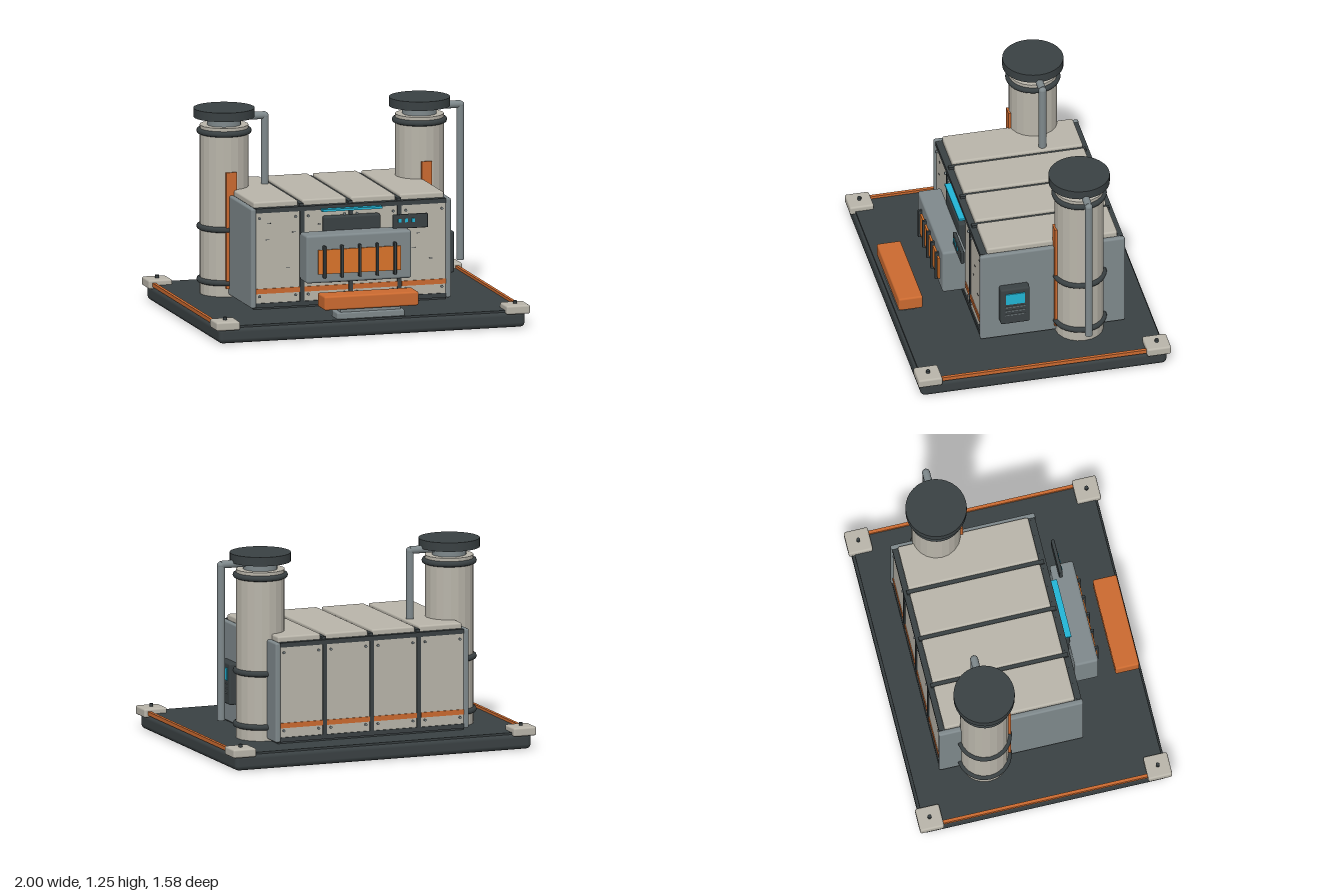
import * as THREE from 'three';
import { RoundedBoxGeometry } from 'three/addons/geometries/RoundedBoxGeometry.js';

const paint = (color) => new THREE.MeshStandardMaterial({ color });
const CREAM = paint(0xb9b5aa), DARK = paint(0x3a4143), GREY = paint(0x7f898c);
const ORANGE = paint(0xcb6a30), BRIGHT = paint(0xd9742a), CYAN = paint(0x22b5d6);
const CREAM_FLAT = paint(0xb9b5aa);
CREAM_FLAT.flatShading = true;

function add(parent, name, geometry, material, x = 0, y = 0, z = 0) {
  const mesh = new THREE.Mesh(geometry, material);
  mesh.name = name;
  mesh.position.set(x, y, z);
  parent.add(mesh);
  return mesh;
}

// Box given by its limits on each axis; r > 0 rounds the edges
function block(parent, name, material, [x0, x1], [y0, y1], [z0, z1], r = 0) {
  const size = [x1 - x0, y1 - y0, z1 - z0];
  const geometry = r ? new RoundedBoxGeometry(...size, 2, r) : new THREE.BoxGeometry(...size);
  return add(parent, name, geometry, material, (x0 + x1) / 2, (y0 + y1) / 2, (z0 + z1) / 2);
}

function group(parent, name) {
  const g = new THREE.Group();
  g.name = name;
  parent.add(g);
  return g;
}

function buildBase(root) {
  const base = group(root, 'base');
  block(base, 'slab', DARK, [-0.975, 0.975], [0, 0.1], [-0.77, 0.77], 0.03);
  block(base, 'deck', DARK, [-0.955, 0.955], [0.09, 0.108], [-0.755, 0.755]);
  for (const sx of [-1, 1]) {
    block(base, 'sideRail', ORANGE, [sx * 0.965 - 0.01, sx * 0.965 + 0.01], [0.1, 0.124], [-0.66, 0.66]);
    for (const sz of [-1, 1]) {
      const x = sx * 0.923, z = sz * 0.715;
      block(base, 'cornerPad', CREAM, [x - 0.075, x + 0.075], [0.085, 0.14], [z - 0.075, z + 0.075], 0.012);
      add(base, 'padBolt', new THREE.CylinderGeometry(0.012, 0.012, 0.02, 10), DARK, x, 0.148, z);
    }
  }
}

function buildHousing(root) {
  const housing = group(root, 'housing');
  block(housing, 'core', DARK, [-0.61, 0.61], [0.1, 0.735], [-0.555, 0.29]);
  for (const s of [-1, 1])
    block(housing, 'endPlate', GREY, [s * 0.62 - 0.017, s * 0.62 + 0.017], [0.12, 0.738], [-0.585, 0.32], 0.012);

  // Four bays, each with a roof, front and back panel
  for (let i = 0; i < 4; i++) {
    const c = (i - 1.5) * 0.31, x = [c - 0.141, c + 0.141];
    block(housing, 'roofPanel', CREAM, x, [0.725, 0.77], [-0.545, 0.272], 0.012);
    for (const [name, z, out] of [['frontPanel', 0.295, 1], ['backPanel', -0.56, -1]]) {
      block(housing, name, CREAM, x, [0.145, 0.71], [z - 0.012, z + 0.012]);
      const zs = z + out * 0.014;
      block(housing, 'orangeBand', ORANGE, x, [0.207, 0.238], [zs - 0.004, zs + 0.004]);
      for (const bx of [-0.115, 0.115]) for (const y of [0.19, 0.675]) {
        const bolt = add(housing, 'panelBolt', new THREE.CylinderGeometry(0.008, 0.008, 0.016, 8), GREY, c + bx, y, zs);
        bolt.rotation.x = Math.PI / 2;
      }
    }
  }

  // Dark ribs and rails framing the panels
  for (const z of [0.3, -0.565]) {
    for (const x of [-0.31, 0, 0.31])
      block(housing, 'rib', DARK, [x - 0.013, x + 0.013], [0.12, 0.735], [z - 0.014, z + 0.014]);
    for (const y of [0.722, 0.135])
      block(housing, 'rail', DARK, [-0.605, 0.605], [y - 0.014, y + 0.014], [z - 0.014, z + 0.014]);
  }
  for (const x of [-0.31, 0, 0.31])
    block(housing, 'roofSeam', DARK, [x - 0.013, x + 0.013], [0.73, 0.752], [-0.56, 0.3]);

  // Small wear marks on the front panels
  for (const [x, y] of [[-0.53, 0.54], [-0.52, 0.64], [-0.4, 0.36], [-0.36, 0.58], [-0.2, 0.62], [0.4, 0.44], [0.43, 0.53], [0.51, 0.37]])
    block(housing, 'wearMark', DARK, [x - 0.012, x + 0.012], [y - 0.002, y + 0.002], [0.306, 0.309]);
}

function buildVent(root) {
  const vent = group(root, 'frontVent');
  block(vent, 'backPlate', DARK, [-0.18, 0.18], [0.26, 0.67], [0.29, 0.348], 0.012);
  block(vent, 'ventBox', GREY, [-0.335, 0.335], [0.288, 0.585], [0.34, 0.487], 0.015);
  block(vent, 'glowPanel', BRIGHT, [-0.262, 0.262], [0.345, 0.495], [0.48, 0.499]);
  for (let i = -2; i <= 2; i++)
    block(vent, 'grilleBar', DARK, [i * 0.112 - 0.009, i * 0.112 + 0.009], [0.32, 0.52], [0.482, 0.512], 0.005);
  block(vent, 'lightBar', CYAN, [-0.19, 0.19], [0.702, 0.716], [0.31, 0.352]);

  // Small control panel standing on the vent box
  block(vent, 'controlPanel', DARK, [0.242, 0.465], [0.58, 0.668], [0.38, 0.402], 0.006);
  for (const x of [0.283, 0.326, 0.369])
    block(vent, 'indicatorLight', CYAN, [x - 0.01, x + 0.01], [0.62, 0.642], [0.398, 0.407]);
}

function buildStep(root) {
  const step = group(root, 'frontStep');
  block(step, 'stepFoot', GREY, [-0.215, 0.215], [0.1, 0.148], [0.615, 0.735], 0.01);
  block(step, 'stepNeck', GREY, [-0.19, 0.19], [0.14, 0.18], [0.625, 0.725]);
  block(step, 'stepBeam', ORANGE, [-0.3, 0.3], [0.168, 0.255], [0.602, 0.752], 0.012);
}

function buildConsole(root) {
  const panel = group(root, 'sideConsole');
  block(panel, 'consoleCase', DARK, [0.63, 0.692], [0.25, 0.508], [0.023, 0.205], 0.012);
  block(panel, 'screen', CYAN, [0.685, 0.699], [0.4, 0.475], [0.055, 0.175]);
  for (const y of [0.377, 0.348, 0.319])
    block(panel, 'consoleSlot', GREY, [0.685, 0.697], [y - 0.003, y + 0.003], [0.052, 0.178]);
}

function buildTower(root, x) {
  const tower = group(root, x > 0 ? 'leftTower' : 'rightTower');
  tower.position.set(x, 0, -0.3);
  const drum = (name, mat, r, y0, y1, sides) =>
    add(tower, name, new THREE.CylinderGeometry(r, r, y1 - y0, sides), mat, 0, (y0 + y1) / 2, 0);
  drum('shaft', CREAM_FLAT, 0.149, 0.1, 1.152, 20);
  drum('neck', GREY, 0.105, 1.15, 1.186, 20);
  drum('collar', DARK, 0.08, 1.18, 1.21, 20);
  drum('cap', DARK, 0.187, 1.2, 1.255, 32);
  for (const y of [0.193, 0.523, 1.115])
    add(tower, 'ring', new THREE.TorusGeometry(0.151, 0.018, 8, 32), DARK, 0, y, 0).rotation.x = Math.PI / 2;
  block(tower, 'orangeStrip', ORANGE, [-0.033, 0.033], [0.16, 0.88], [0.13, 0.16]);

  // Side pipe: a short arm and a long drop
  const arm = add(tower, 'pipeArm', new THREE.CylinderGeometry(0.024, 0.024, 0.2, 12), GREY, 0.16, 1.194, 0);
  arm.rotation.z = Math.PI / 2;
  add(tower, 'pipeDrop', new THREE.CylinderGeometry(0.024, 0.024, 0.96, 12), GREY, 0.259, 0.71, 0);
  add(tower, 'pipeElbow', new THREE.SphereGeometry(0.025, 12, 8), GREY, 0.259, 1.19, 0);
}

export function createModel() {
  const root = new THREE.Group();
  root.name = 'generatorUnit';
  buildBase(root);
  buildHousing(root);
  buildVent(root);
  buildStep(root);
  buildConsole(root);
  for (const x of [-0.622, 0.622]) buildTower(root, x);
  return root;
}
